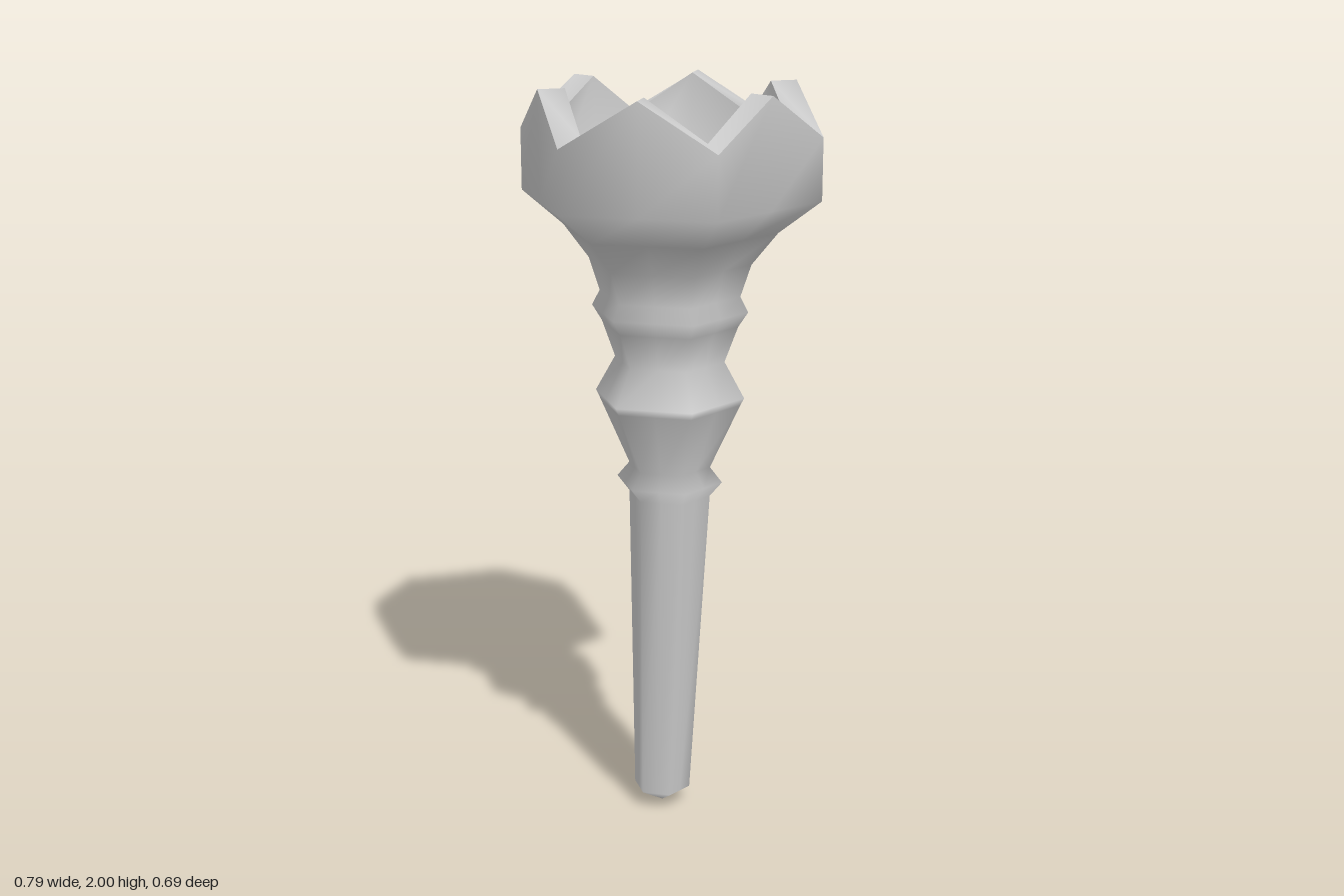
import * as THREE from 'three';

const SEG = 12; // six corners plus the middle of each side
const TWIST = 0.012;
const PEAK = 2.0;

// One hexagonal ring: [radius, y, offsetX, offsetZ, sideMiddleY]
function ringPoint([r, y, ox = 0, oz = 0, midY = y], j) {
  const a = (j / SEG) * Math.PI * 2 + TWIST;
  const isMiddle = j % 2 === 1;
  const rr = isMiddle ? r * Math.cos(Math.PI / 6) : r;
  return [ox + rr * Math.cos(a), isMiddle ? midY : y, oz + rr * Math.sin(a)];
}

// Smooth skin over a list of rings
function loft(name, rings, material) {
  const pos = [], index = [];
  for (const ring of rings) {
    for (let j = 0; j < SEG; j++) pos.push(...ringPoint(ring, j));
  }
  for (let i = 0; i < rings.length - 1; i++) {
    for (let j = 0; j < SEG; j++) {
      const a = i * SEG + j, b = i * SEG + ((j + 1) % SEG);
      if (rings[i][0] > 0) index.push(a, a + SEG, b);
      if (rings[i + 1][0] > 0) index.push(b, a + SEG, b + SEG);
    }
  }
  const geo = new THREE.BufferGeometry();
  geo.setAttribute('position', new THREE.Float32BufferAttribute(pos, 3));
  geo.setIndex(index);
  geo.computeVertexNormals();
  const mesh = new THREE.Mesh(geo, material);
  mesh.name = name;
  return mesh;
}

export function createModel() {
  const group = new THREE.Group();
  group.name = 'torch';
  const mat = new THREE.MeshStandardMaterial({ color: 0xcccccc, side: THREE.DoubleSide });

  const outerRim = [0.393, 1.88, 0, 0, PEAK];
  const innerRim = [0.312, 1.895, 0, 0, PEAK];

  // Slightly leaning shaft, ringed neck and flared cup as one skin
  group.add(loft('handleAndCup', [
    [0, 0, -0.025, -0.02],
    [0.078, 0.05, -0.025, -0.018],
    [0.11, 0.92],
    [0.143, 0.96],
    [0.11, 1.0],
    [0.19, 1.175],
    [0.2, 1.195],
    [0.147, 1.29],
    [0.182, 1.385],
    [0.208, 1.425],
    [0.187, 1.465],
    [0.215, 1.55],
    [0.283, 1.635],
    [0.393, 1.72],
    outerRim,
  ], mat));

  // Zigzag rim: low at the corners, pointed at the middle of each side
  group.add(loft('rim', [outerRim, innerRim], mat));

  // Hollow of the cup
  group.add(loft('cupInside', [
    innerRim,
    [0.3, 1.75],
    [0.2, 1.665],
    [0, 1.635],
  ], mat));

  return group;
}
